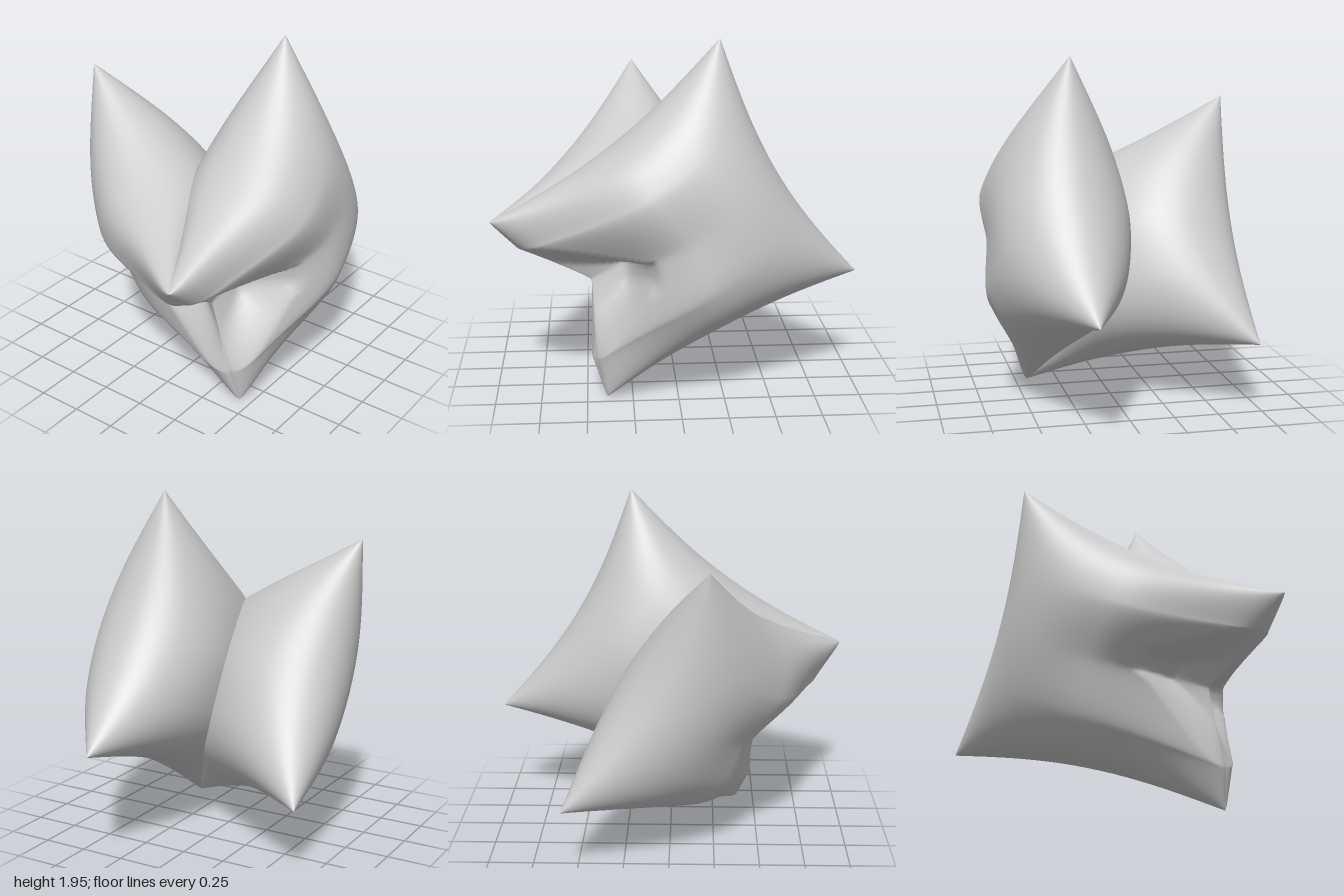
import * as THREE from 'three';
import { mergeVertices } from 'three/addons/utils/BufferGeometryUtils.js';

const V = (x, y, z) => new THREE.Vector3(x, y, z);
const { smoothstep } = THREE.MathUtils;
const N = 90;

// Shared seam between the two cushions, buckled inwards at its middle
const A = V(-1, 1.01, 0.43), D = V(-0.39, 0, 0.43);
const seam = new THREE.CatmullRomCurve3(
  [A, V(-0.84, 0.85, 0.39), V(-0.47, 0.64, 0.3), V(-0.45, 0.22, 0.4), D], false, 'catmullrom', 0.1);

// Inflated square cushion with corners A, B, C, D; bows pull its free edges inwards
function cushion(name, B, C, bows, outer, inner, tilt, material) {
  const AB = B.clone().sub(A), AD = D.clone().sub(A);
  const normal = AB.clone().cross(AD).normalize();
  const along = AB.clone().normalize(), down = AD.clone().normalize();

  const point = (u, v, height) => {
    const top = A.clone().lerp(B, u), bottom = D.clone().lerp(C, u);
    const p = top.lerp(bottom, v);
    // Edge deviations fade out towards the opposite edge
    const buckle = seam.getPoint(v).sub(A.clone().lerp(D, v));
    p.addScaledVector(buckle, (1 - u) ** 1.6);
    p.addScaledVector(down, bows[0] * Math.sin(Math.PI * u) * (1 - v) ** 1.5);
    p.addScaledVector(along, -bows[1] * Math.sin(Math.PI * v) * u ** 1.5);
    p.addScaledVector(down, -bows[2] * Math.sin(Math.PI * u) * v ** 1.5);
    // Full, rounded puff that tapers to pointed corners and is slimmer towards the seam
    const s = Math.min(1, Math.max(0, Math.sin(Math.PI * u) * Math.sin(Math.PI * v)));
    const puff = Math.sqrt(1 - (1 - s) ** 1.7) * (0.6 + 0.4 * smoothstep(u, 0.08, 0.52));
    // V-shaped notch between two lobes, narrowing away from the buckled seam
    const depth = 1 - smoothstep(u, 0.18, 0.34);
    const width = Math.max(0.06, 0.25 * (1 - u / 0.36));
    const offset = Math.abs(v - 0.5 - tilt * u / 0.3);
    const dent = 0.95 * depth * (1 - smoothstep(offset / width, 0.4, 1.12));
    return p.addScaledVector(normal, height * puff * (1 - dent));
  };

  const positions = [], index = [];
  const ease = i => (1 - Math.cos(Math.PI * i / N)) / 2;
  [outer, -inner].forEach((height, side) => {
    const start = side * (N + 1) ** 2;
    for (let i = 0; i <= N; i++) {
      for (let j = 0; j <= N; j++) {
        positions.push(...point(ease(i), ease(j), height).toArray());
        if (i === N || j === N) continue;
        const a = start + i * (N + 1) + j, b = a + N + 1, c = a + 1, d = b + 1;
        if (side === 0) index.push(a, b, c, b, d, c);
        else index.push(a, c, b, b, c, d);
      }
    }
  });
  let geometry = new THREE.BufferGeometry();
  geometry.setAttribute('position', new THREE.Float32BufferAttribute(positions, 3));
  geometry.setIndex(index);
  geometry = mergeVertices(geometry, 1e-5);
  geometry.computeVertexNormals();
  const mesh = new THREE.Mesh(geometry, material);
  mesh.name = name;
  return mesh;
}

export function createModel() {
  const model = new THREE.Group();
  model.name = 'foldedCushions';
  const material = new THREE.MeshStandardMaterial({ color: 0xcccccc, side: THREE.DoubleSide });
  model.add(
    cushion('frontCushion', V(0.23, 1.95, 0.27), V(1, 0.65, 0.27), [0.09, 0.1, 0.09], 0.39, 0.4, 0.06, material),
    cushion('backCushion', V(-0.21, 1.7, -0.71), V(0.57, 0.4, -0.71), [0.09, 0.08, 0.08], 0.34, 0.4, -0.05, material),
  );
  return model;
}
